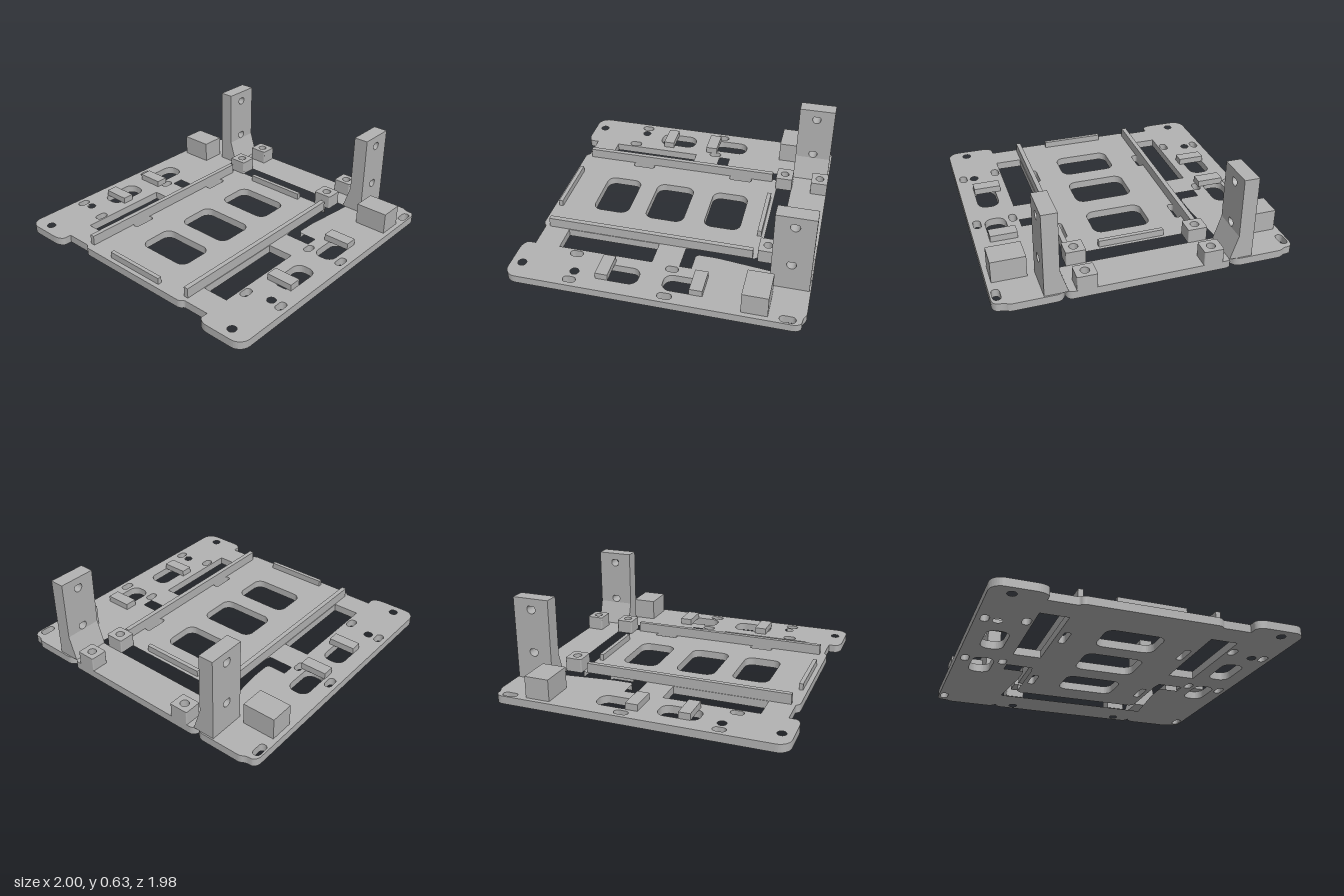
import * as THREE from 'three';

const T = 0.055; // plate thickness

// Closed path through [x, y, cornerRadius] points
function rounded(pts, path = new THREE.Path()) {
  const n = pts.length;
  pts.forEach(([x, y, r = 0], i) => {
    const p = new THREE.Vector2(x, y);
    const toward = (q) => {
      const d = new THREE.Vector2(q[0] - x, q[1] - y);
      return p.clone().add(d.setLength(Math.min(r, d.length() / 2)));
    };
    const a = toward(pts[(i + n - 1) % n]), b = toward(pts[(i + 1) % n]);
    if (i === 0) path.moveTo(a.x, a.y); else path.lineTo(a.x, a.y);
    if (r > 0) path.bezierCurveTo(
      a.x + (x - a.x) * 0.55, a.y + (y - a.y) * 0.55,
      b.x + (x - b.x) * 0.55, b.y + (y - b.y) * 0.55, b.x, b.y);
  });
  path.closePath();
  return path;
}

const rect = (x0, x1, y0, y1, r, path) =>
  rounded([[x0, y0, r], [x1, y0, r], [x1, y1, r], [x0, y1, r]], path);

const circle = (x, y, r) => new THREE.Path().absarc(x, y, r, 0, Math.PI * 2, true);

// Half outline plus its mirror image in x
const mirrored = (half) => [...half, ...half.map(([x, y, r]) => [-x, y, r]).reverse()];

// Extrude a plan drawn in (x, z) between two heights
function slab(shape, y0, y1) {
  const g = new THREE.ExtrudeGeometry(shape, { depth: y1 - y0, bevelEnabled: false, curveSegments: 8 });
  return g.rotateX(Math.PI / 2).translate(0, y1, 0);
}

export function createModel() {
  const group = new THREE.Group();
  const gray = new THREE.MeshStandardMaterial({ color: 0xb2b2b2 });
  gray.name = 'plain gray';

  const add = (name, geometry) => {
    const m = new THREE.Mesh(geometry, gray);
    m.name = name;
    group.add(m);
  };
  const box = (name, x0, x1, y0, y1, z0, z1) =>
    add(name, new THREE.BoxGeometry(x1 - x0, y1 - y0, z1 - z0)
      .translate((x0 + x1) / 2, (y0 + y1) / 2, (z0 + z1) / 2));

  // Base plate outline, with notched back and stepped front
  const plate = rounded(mirrored([
    [-0.535, -0.99, 0.03], [-0.55, -0.945], [-0.58, -0.99, 0.03],
    [-0.9, -0.99, 0.02], [-0.925, -0.97, 0.02], [-1, -0.965, 0.05],
    [-1, 0.985, 0.08], [-0.655, 0.985, 0.08], [-0.655, 0.9],
    [-0.465, 0.9, 0.01], [-0.445, 0.925, 0.02],
  ]), new THREE.Shape());

  // U-shaped gap around the back of the centre tray
  plate.holes.push(rounded(mirrored([
    [-0.557, -0.727], [-0.515, -0.345, 0.03], [-0.515, -0.2, 0.03],
    [-0.655, -0.2], [-0.655, -0.12], [-0.477, -0.12],
    [-0.466, -0.18], [-0.466, -0.59, 0.01], [-0.44, -0.62, 0.01],
  ])));

  // Three centre windows
  for (const [z0, z1] of [[-0.435, -0.175], [0.385, 0.645]])
    plate.holes.push(rect(-0.2, 0.2, z0, z1, 0.06));
  plate.holes.push(rect(-0.205, 0.207, 0.027 - 0.052, 0.255, 0.06));

  // Openings repeated on both sides
  for (const s of [-1, 1]) {
    const slot = (x, w, z0, z1, r) => plate.holes.push(rect(s * x - w / 2, s * x + w / 2, z0, z1, r));
    slot(0.562, 0.186, 0.07, 0.725, 0);
    slot(0.412, 0.045, -0.42, -0.25, 0.018);
    slot(0.412, 0.045, 0.35, 0.515, 0.018);
    slot(0.82, 0.145, -0.31, -0.05, 0.06);
    slot(0.82, 0.15, 0.112, 0.395, 0.06);
    slot(0.96, 0.053, -0.93, -0.825, 0.026);
    slot(0.945, 0.053, -0.14, -0.043, 0.026);
    slot(0.693, 0.053, -0.122, -0.035, 0.026);
    slot(0.943, 0.053, 0.505, 0.592, 0.026);
    slot(0.696, 0.055, 0.54, 0.63, 0.026);
    plate.holes.push(circle(s * 0.863, 0.54, 0.03), circle(s * 0.863, 0.908, 0.03),
      circle(s * 0.418, -0.93, 0.03));
  }
  add('basePlate', slab(plate, 0, T));

  for (const s of [-1, 1]) {
    const side = s < 0 ? 'right' : 'left';
    const sideBox = (name, x0, x1, ...rest) =>
      box(side + name, Math.min(s * x0, s * x1), Math.max(s * x0, s * x1), ...rest);

    sideBox('Rail', 0.432, 0.465, T, 0.125, -0.575, 0.87);
    sideBox('CornerBlock', 0.74, 0.968, T, 0.205, -0.755, -0.585);

    // Bored mounting bosses
    for (const z of [-0.93, -0.67]) {
      const boss = rect(s * 0.418 - 0.067, s * 0.418 + 0.067, z - 0.06, z + 0.06, 0.008, new THREE.Shape());
      boss.holes.push(circle(s * 0.418, z, 0.03));
      add(side + 'Boss', slab(boss, T, 0.153));
    }

    // Upright post drawn in (-z, y), with two teardrop bores
    const post = rect(0.722, 0.98, T, 0.63, 0, new THREE.Shape());
    for (const y of [0.555, 0.253]) {
      const bore = new THREE.Path();
      bore.moveTo(0.85, y + 0.042);
      bore.absarc(0.85, y, 0.031, Math.PI * 0.75, Math.PI * 2.25, false);
      bore.closePath();
      post.holes.push(bore);
    }
    add(side + 'Post', new THREE.ExtrudeGeometry(post, { depth: 0.102, bevelEnabled: false, curveSegments: 16 })
      .rotateY(Math.PI / 2).translate(s * 0.637 - 0.051, 0, 0));

    // Sloped foot on the inner face of the post
    const foot = rounded([[s * 0.586, T], [s * 0.533, T], [s * 0.586, 0.22]], new THREE.Shape());
    add(side + 'PostFoot', new THREE.ExtrudeGeometry(foot, { depth: 0.258, bevelEnabled: false })
      .translate(0, 0, -0.98));
  }

  // Low clamp bars across the side windows
  for (const [name, x0, x1, z0, z1] of [
    ['rightBackBar', -0.897, -0.71, -0.085, 0],
    ['rightFrontBar', -0.897, -0.708, 0.27, 0.35],
    ['leftBackBar', 0.708, 0.895, -0.327, -0.24],
    ['leftFrontBar', 0.706, 0.895, 0.302, 0.387],
  ]) box(name, x0, x1, T, 0.1, z0, z1);

  // End ribs of the centre tray
  box('backRib', -0.228, 0.225, T, 0.1, -0.597, -0.568);
  box('frontRib', -0.228, 0.225, T, 0.1, 0.865, 0.893);

  return group;
}
